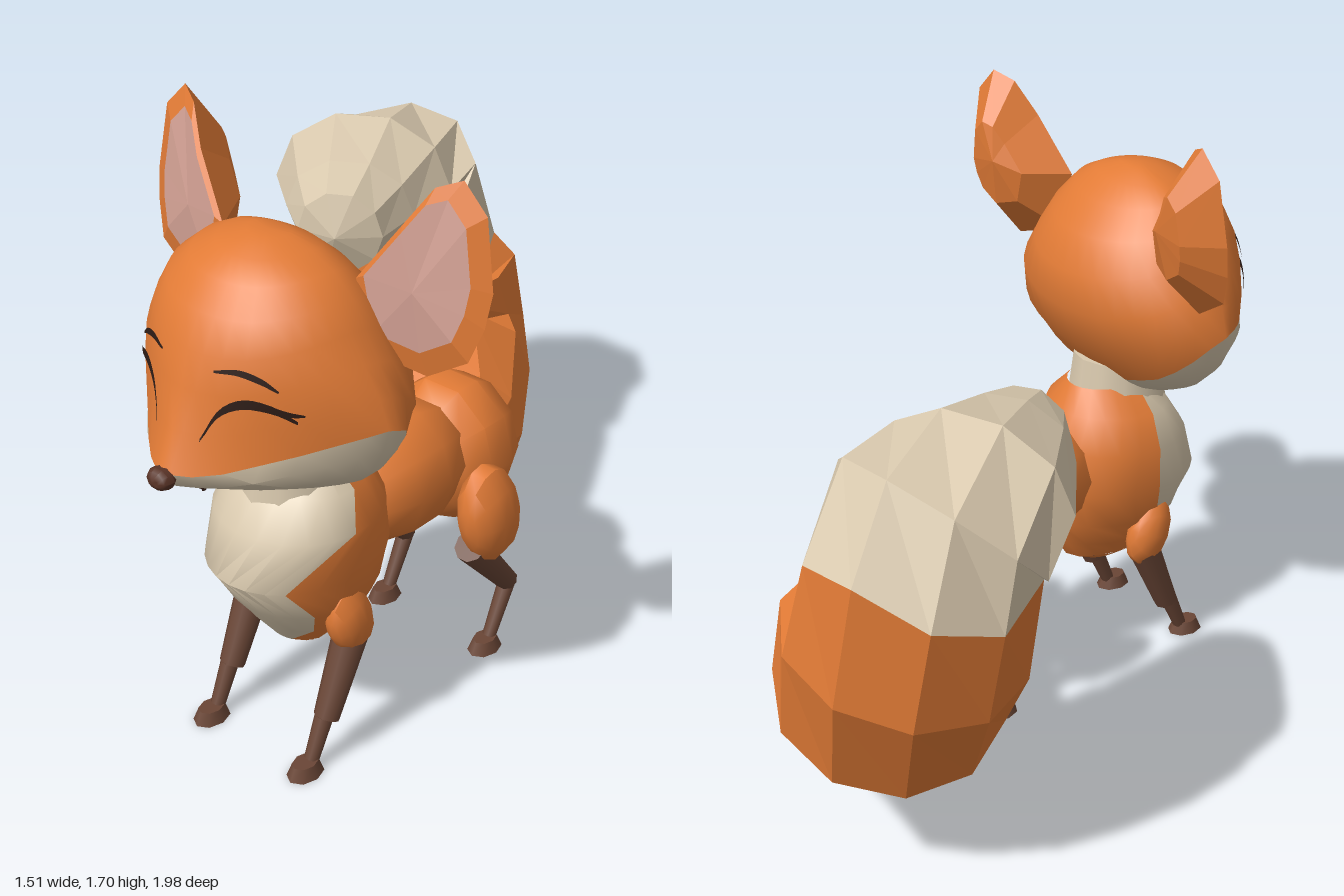
import * as THREE from 'three';
import { toCreasedNormals } from 'three/addons/utils/BufferGeometryUtils.js';

const V = (x, y, z) => new THREE.Vector3(x, y, z);
const mat = (name, color, side = THREE.FrontSide) => {
  const m = new THREE.MeshStandardMaterial({ color, side });
  m.name = name;
  return m;
};

// Linear lookup of column c in a table keyed by column 0
function look(table, k, c) {
  if (k <= table[0][0]) return table[0][c];
  for (let i = 1; i < table.length; i++) {
    const a = table[i - 1], b = table[i];
    if (k <= b[0]) return a[c] + (b[c] - a[c]) * (k - a[0]) / (b[0] - a[0]);
  }
  return table[table.length - 1][c];
}

// Skin a list of rings; each ring runs counter-clockwise about the direction of travel
function loft(rings, { closed = true, start = null, end = null, crease = 0 } = {}) {
  const pos = [], n = rings[0].length, m = closed ? n : n - 1;
  const tri = (...p) => p.forEach(q => pos.push(q.x, q.y, q.z));
  const last = rings[rings.length - 1];
  for (let j = 0; j < m; j++) {
    const k = (j + 1) % n;
    for (let i = 0; i + 1 < rings.length; i++) {
      const a = rings[i], b = rings[i + 1];
      tri(a[j], a[k], b[j]);
      tri(a[k], b[k], b[j]);
    }
    if (start) tri(start, rings[0][k], rings[0][j]);
    if (end) tri(end, last[j], last[k]);
  }
  const g = new THREE.BufferGeometry();
  g.setAttribute('position', new THREE.Float32BufferAttribute(pos, 3));
  g.computeVertexNormals();
  return crease ? toCreasedNormals(g, crease) : g;
}

// Head profile: height, half width, front z, back z
const HEAD = [
  [0.835, 0.06, 0.60, 0.50], [0.86, 0.18, 0.70, 0.48], [0.90, 0.27, 0.81, 0.435],
  [0.94, 0.32, 0.915, 0.395], [0.98, 0.355, 0.975, 0.365], [1.05, 0.39, 0.94, 0.325],
  [1.11, 0.405, 0.915, 0.305], [1.2, 0.375, 0.885, 0.295], [1.3, 0.315, 0.855, 0.326],
  [1.4, 0.26, 0.80, 0.40], [1.45, 0.20, 0.745, 0.455], [1.48, 0.14, 0.70, 0.49], [1.503, 0.06, 0.63, 0.54]];
// Height of the pale muzzle edge by angle from the front
const EDGE = [[0, 1.0], [20, 1.0], [30, 1.01], [45, 1.045], [65, 1.09], [85, 1.11],
  [100, 1.075], [115, 1.01], [130, 0.95], [160, 0.89], [180, 0.88]];
const HZ = 0.57;
const power = y => THREE.MathUtils.clamp(1.3 + (y - 1.1) * 2.8, 1.3, 2);

function headPoint(y, a) {
  const c = Math.cos(a), s = Math.sin(a), e = c > 0 ? 2 / power(y) : 1;
  const depth = c > 0 ? look(HEAD, y, 2) - HZ : HZ - look(HEAD, y, 3);
  return V(Math.sign(s) * Math.abs(s) ** e * look(HEAD, y, 1), y, HZ + Math.sign(c) * Math.abs(c) ** e * depth);
}
function facePoint(x, y) {
  const n = power(y), t = Math.min(1, Math.abs(x) / look(HEAD, y, 1));
  return V(x, y, HZ + (look(HEAD, y, 2) - HZ) * (1 - t ** n) ** (1 / n) + 0.008);
}
function headRings(steps, height) {
  return steps.map(s => Array.from({ length: 36 }, (_, j) => {
    const a = j / 36 * Math.PI * 2;
    const deg = Math.min(a, Math.PI * 2 - a) * 180 / Math.PI;
    return headPoint(height(s, look(EDGE, deg, 1)), a);
  }));
}

// Painted line lying on the face
function faceLine(pts, half) {
  const curve = new THREE.CatmullRomCurve3(pts.map(p => V(p[0], p[1], 0)));
  const rows = curve.getPoints(14).map((p, i) => {
    const h = half * (0.35 + 0.65 * Math.sin(Math.PI * i / 14));
    return [facePoint(p.x, p.y - h), facePoint(p.x, p.y + h)];
  });
  return loft(rows, { closed: false });
}

// Chest profile: height, half width, front z, back z, pale angles on the +x and -x sides
const CHEST = [
  [0.265, 0.03, 0.50, 0.42, 20, -20], [0.31, 0.09, 0.575, 0.33, 25, -25], [0.38, 0.15, 0.63, 0.285, 55, -60],
  [0.46, 0.195, 0.69, 0.255, 55, -85], [0.57, 0.225, 0.76, 0.24, 40, -90], [0.70, 0.222, 0.715, 0.255, 85, -90],
  [0.80, 0.185, 0.645, 0.30, 95, -90], [0.87, 0.11, 0.54, 0.35, 95, -90]];
function chestRing([y, w, zf, zb], from, to, n) {
  return Array.from({ length: n + 1 }, (_, j) => {
    const a = (from + (to - from) * j / n) * Math.PI / 180, c = Math.cos(a);
    const mid = THREE.MathUtils.clamp(0.5, zb, zf);
    return V(w * Math.sin(a), y, mid + c * (c > 0 ? zf - mid : mid - zb));
  });
}

// Ear rim, from inner base over the tip to the outer base
const EAR = [[0.22, 1.42, 0.515], [0.33, 1.58, 0.475], [0.39, 1.675, 0.435], [0.45, 1.70, 0.405],
  [0.52, 1.63, 0.405], [0.55, 1.45, 0.415], [0.54, 1.36, 0.43], [0.51, 1.27, 0.45],
  [0.40, 1.20, 0.465], [0.26, 1.24, 0.515]];
function earRing(side, k, dz, cx, cy) {
  const r = EAR.map(([x, y, z]) => V(side * (cx + (x - cx) * k), cy + (y - cy) * k, 0.45 + (z - 0.45) * k + dz));
  return side > 0 ? r.reverse() : r;
}

// Tail spine: x, y, z, sideways radius, radius in the bend
const TAIL = [[-0.03, 0.47, -0.22, 0.085, 0.085], [-0.20, 0.395, -0.42, 0.19, 0.205],
  [-0.41, 0.43, -0.60, 0.275, 0.28], [-0.53, 0.49, -0.68, 0.305, 0.27], [-0.60, 0.69, -0.675, 0.325, 0.32],
  [-0.655, 0.90, -0.655, 0.315, 0.30], [-0.665, 1.03, -0.60, 0.305, 0.265], [-0.64, 1.075, -0.48, 0.275, 0.215],
  [-0.54, 1.075, -0.31, 0.19, 0.16], [-0.47, 1.065, -0.19, 0.125, 0.13]];
const SPLIT = 5;
function tailRings() {
  const c = TAIL.map(p => V(p[0], p[1], p[2]));
  return TAIL.map((p, i) => {
    const t = c[Math.min(i + 1, c.length - 1)].clone().sub(c[Math.max(i - 1, 0)]).normalize();
    const u = V(0.76, 0, -0.65);
    u.addScaledVector(t, -u.dot(t)).normalize();
    const v = t.clone().cross(u);
    return Array.from({ length: 10 }, (_, j) => {
      const a = j / 10 * Math.PI * 2;
      const q = c[i].clone().addScaledVector(u, p[3] * Math.cos(a)).addScaledVector(v, p[4] * Math.sin(a));
      if (i === SPLIT) { // wavy colour edge, lowest on the sides
        const dx = (q.x - p[0]) / p[3], dz = (q.z - p[2]) / p[3];
        q.y = 0.80 - 0.06 * dx + (dz < 0 ? 0.24 : 0.2) * dz * dz;
      }
      if (i > SPLIT) q.y = Math.max(q.y, 0.94); // flat underside of the curled tip
      return q;
    });
  });
}

export function createModel() {
  const orange = mat('orangeFur', 0xe27b36), cream = mat('creamFur', 0xd9c9ae);
  const brown = mat('brownLegs', 0x6a4636), pink = mat('pinkInnerEar', 0xd3a194);
  const dark = mat('darkLines', 0x2c1b15, THREE.DoubleSide), noseBrown = mat('noseBrown', 0x5a3427);
  const root = new THREE.Group();
  root.name = 'fox';
  const fox = new THREE.Group();
  fox.name = 'foxBody';
  fox.position.x = 0.21;
  root.add(fox);
  const add = (name, geo, m) => {
    const mesh = new THREE.Mesh(geo, m);
    mesh.name = name;
    fox.add(mesh);
    return mesh;
  };
  const blob = (name, m, p, r, tilt = 0) => {
    const g = new THREE.SphereGeometry(1, 10, 7).rotateX(Math.PI / 2).scale(...r);
    const mesh = add(name, toCreasedNormals(g, 0.75), m);
    mesh.position.set(...p);
    mesh.rotation.x = tilt;
  };
  const limb = (name, a, b, ra, rb) => {
    const d = b.clone().sub(a);
    const mesh = add(name, new THREE.CylinderGeometry(rb, ra, d.length(), 9), brown);
    mesh.position.copy(a).addScaledVector(d, 0.5);
    mesh.quaternion.setFromUnitVectors(V(0, 1, 0), d.normalize());
  };

  // Head, split along the muzzle edge
  const lower = headRings([0, 0.12, 0.3, 0.5, 0.75, 1], (s, e) => 0.835 + (e - 0.835) * s);
  const upper = headRings([0, 0.2, 0.4, 0.58, 0.74, 0.87, 0.95, 1], (s, e) => e + (1.503 - e) * s);
  add('muzzle', loft(lower, { start: V(0, 0.83, 0.55), crease: 0.8 }), cream);
  add('skull', loft(upper, { end: V(0, 1.506, 0.585), crease: 0.9 }), orange);
  blob('nose', noseBrown, [0, 0.985, 0.962], [0.039, 0.03, 0.032]);
  add('mouth', faceLine([[-0.07, 0.945], [-0.04, 0.924], [0, 0.916], [0.04, 0.924], [0.07, 0.945]], 0.004), dark);

  for (const s of [1, -1]) {
    const line = (name, pts, h) => add(name, faceLine(pts.map(([x, y]) => [s * x, y]), h), dark);
    line('closedEye', [[0.262, 1.15], [0.22, 1.182], [0.16, 1.193], [0.11, 1.165], [0.072, 1.09]], 0.012);
    line('eyelash', [[0.275, 1.168], [0.25, 1.172], [0.22, 1.188]], 0.006);
    line('eyebrow', [[0.225, 1.228], [0.19, 1.252], [0.14, 1.268], [0.085, 1.262]], 0.008);

    // Ear: thick back, narrow rim, forward-facing inner panel
    const inner = earRing(s, 0.78, 0.018, 0.34, 1.49);
    add('ear', loft([earRing(s, 0.5, -0.1, 0.36, 1.44), earRing(s, 1, 0, 0.4, 1.42), inner], { start: V(s * 0.36, 1.46, 0.33) }), orange);
    add('innerEar', loft([inner], { end: V(s * 0.37, 1.42, 0.49) }), pink);

    // Legs
    blob('shoulder', orange, [s * 0.18, 0.41, 0.50], [0.055, 0.11, 0.07], 0.35);
    limb('frontUpperLeg', V(s * 0.175, 0.37, 0.48), V(s * 0.175, 0.135, 0.585), 0.05, 0.036);
    limb('frontLowerLeg', V(s * 0.175, 0.14, 0.595), V(s * 0.175, 0.03, 0.645), 0.026, 0.021);
    blob('haunch', orange, [s * 0.215, 0.49, -0.035], [0.078, 0.16, 0.1], 0.2);
    limb('hindUpperLeg', V(s * 0.19, 0.39, 0.01), V(s * 0.19, 0.185, -0.165), 0.048, 0.032);
    limb('hindLowerLeg', V(s * 0.19, 0.19, -0.17), V(s * 0.19, 0.03, -0.09), 0.026, 0.02);
    for (const [x, z] of [[0.175, 0.67], [0.19, -0.07]]) {
      const foot = add('foot', new THREE.CylinderGeometry(0.03, 0.043, 0.036, 8), brown);
      foot.position.set(s * x, 0.018, z);
      foot.scale.z = 1.35;
    }
  }

  // Neck and chest
  const neck = add('neck', new THREE.CylinderGeometry(0.13, 0.152, 0.18, 12), cream);
  neck.position.set(0, 0.85, 0.515);
  add('bib', loft(CHEST.slice(1).map(r => chestRing(r, r[5], r[4], 10)), { closed: false, crease: 1 }), cream);
  add('chest', loft(CHEST.slice(1).map(r => chestRing(r, r[4], 360 + r[5], 12)), { closed: false, crease: 1 }), orange);
  add('chestBottom', loft(CHEST.slice(0, 2).map(r => chestRing(r, 0, 360, 16)), { closed: false, start: V(0, 0.255, 0.46), crease: 1 }), orange);

  // Trunk
  blob('belly', orange, [0, 0.62, 0.14], [0.182, 0.187, 0.27]);
  blob('rump', orange, [0, 0.585, -0.125], [0.197, 0.22, 0.187]);

  // Tail with pale tip
  const rings = tailRings();
  add('tail', loft(rings.slice(0, SPLIT + 1), { start: V(-0.01, 0.48, -0.19) }), orange);
  add('tailTip', loft(rings.slice(SPLIT), { end: V(-0.455, 1.065, -0.15) }), cream);
  return root;
}
